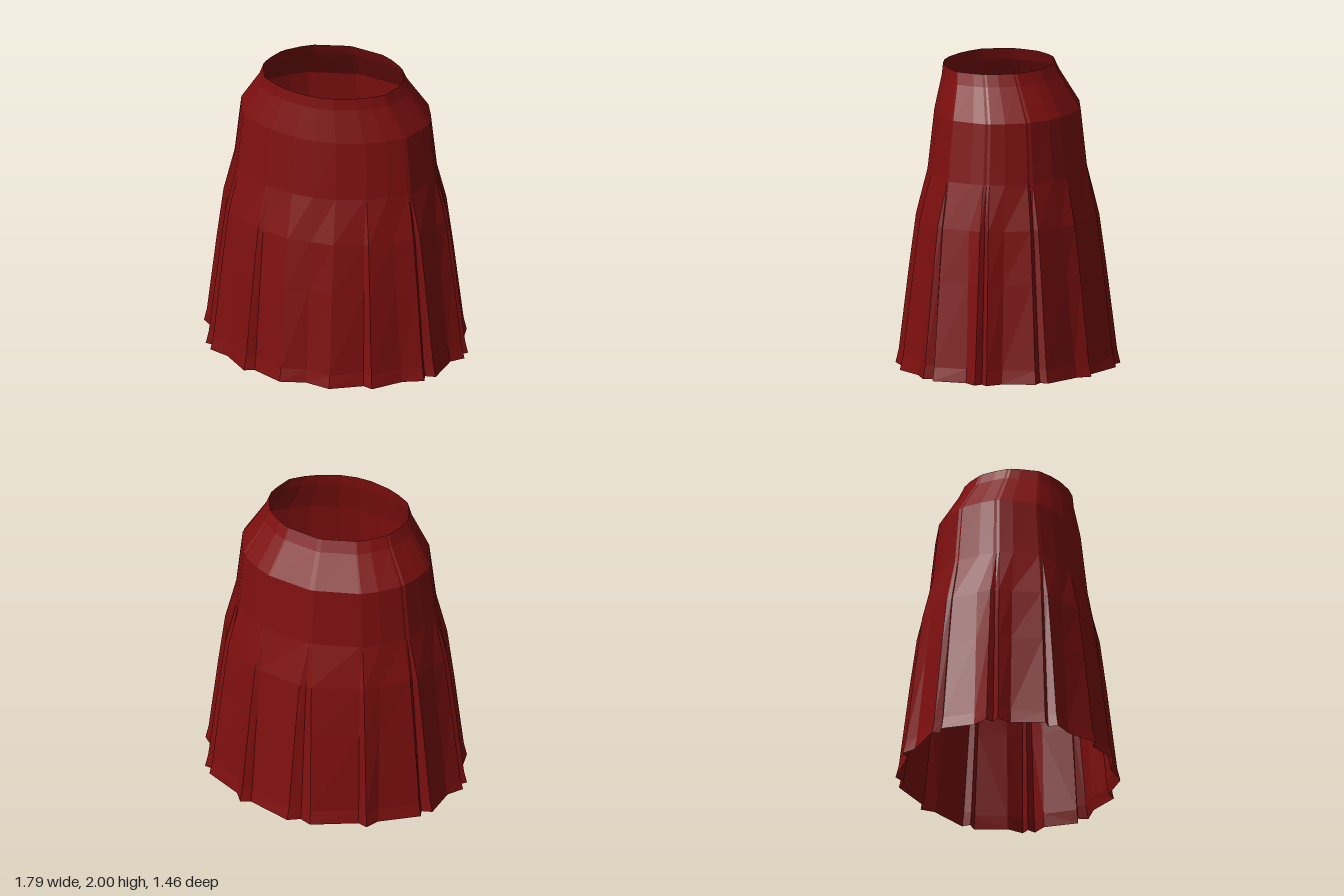
import * as THREE from 'three';

// Half of the hem outline [x, z], from centre back round the +x side to centre front
const HEM = [
  [0, -0.69], [0.08, -0.73], [0.375, -0.61], [0.44, -0.635], [0.49, -0.55], [0.735, -0.4], [0.72, -0.345],
  [0.79, -0.33], [0.82, -0.11], [0.895, -0.02], [0.85, 0.02], [0.895, 0.06], [0.82, 0.13], [0.79, 0.36],
  [0.72, 0.37], [0.735, 0.435], [0.6, 0.49], [0.44, 0.645], [0.375, 0.62], [0.17, 0.725], [0, 0.685],
];

// Hip outline, where the pleats close up, with matching points
const HIP = [
  [0, -0.52], [0.02, -0.52], [0.33, -0.45], [0.345, -0.445], [0.45, -0.38], [0.575, -0.27], [0.585, -0.25],
  [0.6, -0.24], [0.66, -0.1], [0.688, 0], [0.685, 0.02], [0.69, 0.04], [0.665, 0.13], [0.6, 0.29],
  [0.59, 0.3], [0.58, 0.31], [0.47, 0.39], [0.345, 0.455], [0.33, 0.46], [0.15, 0.515], [0, 0.53],
];

// Closes a half outline by mirroring it across x
function mirrorOutline(half) {
  const other = half.slice(1, -1).reverse().map(([x, z]) => [-x, z]);
  return [...half, ...other];
}

// Skirt ring: blend from hip (t = 0) to hem (t = 1)
function pleatRing(y, t) {
  return mirrorOutline(HIP.map(([x, z], i) => [
    x + (HEM[i][0] - x) * t,
    z + (HEM[i][1] - z) * t,
  ])).map(([x, z]) => new THREE.Vector3(x, y, z));
}

// Upper ring: hip outline scaled in and shifted forward
function hipRing(y, sx, sz, dz) {
  return mirrorOutline(HIP).map(([x, z]) => new THREE.Vector3(x * sx, y, z * sz + dz));
}

// Joins rings, listed from bottom to top, into an open shell
function loft(rings) {
  const n = rings[0].length;
  const index = [];
  for (let r = 0; r < rings.length - 1; r++) {
    for (let i = 0; i < n; i++) {
      const a = r * n + i;
      const b = r * n + (i + 1) % n;
      index.push(a, a + n, b, b, a + n, b + n);
    }
  }
  const geometry = new THREE.BufferGeometry().setFromPoints(rings.flat());
  geometry.setIndex(index);
  geometry.computeVertexNormals();
  return geometry;
}

export function createModel() {
  const cloth = new THREE.MeshStandardMaterial({ color: 0x7e0f0f, flatShading: true, side: THREE.DoubleSide });
  cloth.name = 'dark red cloth';

  const hip = pleatRing(1.3, 0);
  const shoulder = hipRing(1.7, 0.935, 0.915, 0);
  const bandBottom = hipRing(1.92, 0.735, 0.743, 0.045);
  const parts = {
    pleats: [pleatRing(0, 1), pleatRing(0.09, 0.9), pleatRing(0.65, 0.58), pleatRing(1, 0.36), hip],
    hipPanel: [hip, shoulder],
    yoke: [shoulder, bandBottom],
    waistband: [bandBottom, hipRing(2, 0.69, 0.7, 0.06)],
  };

  const skirt = new THREE.Group();
  skirt.name = 'pleatedSkirt';
  for (const [name, rings] of Object.entries(parts)) {
    const mesh = new THREE.Mesh(loft(rings), cloth);
    mesh.name = name;
    skirt.add(mesh);
  }
  return skirt;
}
